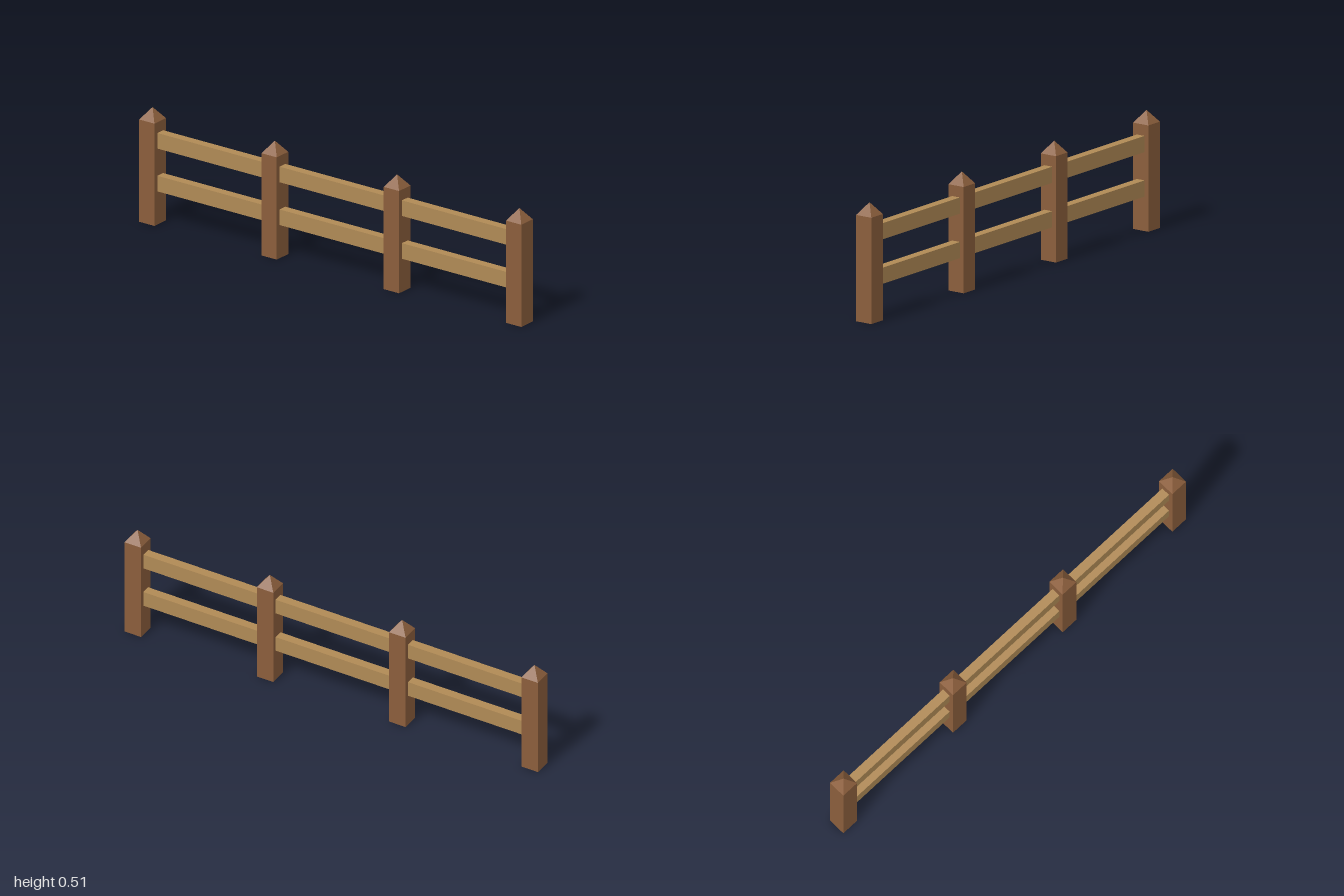
import * as THREE from 'three';

export function createModel() {
  const fence = new THREE.Group();
  fence.name = 'fence';

  const postWood = new THREE.MeshStandardMaterial({ color: 0x8b5e3c, flatShading: true });
  postWood.name = 'dark post wood';
  const railWood = new THREE.MeshStandardMaterial({ color: 0xb08a55, flatShading: true });
  railWood.name = 'light rail wood';

  const size = 0.08, postHeight = 0.459, capHeight = 0.053;
  const postGeometry = new THREE.BoxGeometry(size, postHeight, size);
  // Four-sided pyramid turned to line up with the post
  const capGeometry = new THREE.ConeGeometry(size / Math.SQRT2, capHeight, 4, 1, true).rotateY(Math.PI / 4);

  // Four evenly spaced posts with pointed caps
  for (const x of [-0.96, -0.32, 0.32, 0.96]) {
    const group = new THREE.Group();
    group.name = 'post';
    group.position.x = x;
    const shaft = new THREE.Mesh(postGeometry, postWood);
    shaft.name = 'postShaft';
    shaft.position.y = postHeight / 2;
    const cap = new THREE.Mesh(capGeometry, postWood);
    cap.name = 'postCap';
    cap.position.y = postHeight + capHeight / 2;
    group.add(shaft, cap);
    fence.add(group);
  }

  // Two long rails running through the posts
  const railGeometry = new THREE.BoxGeometry(1.92, 0.07, 0.04);
  for (const [name, y] of [['lowerRail', 0.184], ['upperRail', 0.376]]) {
    const rail = new THREE.Mesh(railGeometry, railWood);
    rail.name = name;
    rail.position.y = y;
    fence.add(rail);
  }
  return fence;
}
